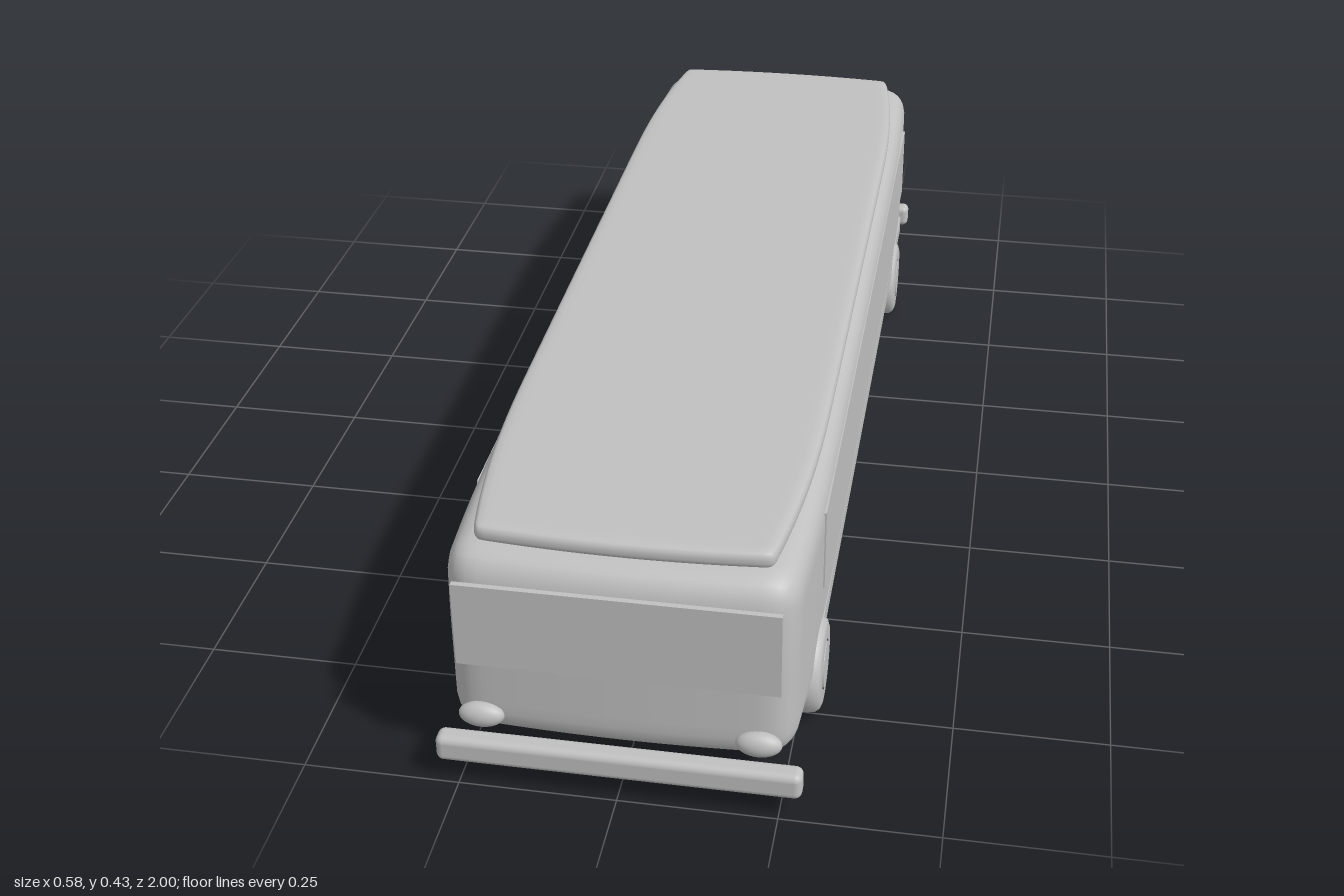
import * as THREE from 'three';
import { mergeVertices } from 'three/addons/utils/BufferGeometryUtils.js';
import { RoundedBoxGeometry } from 'three/addons/geometries/RoundedBoxGeometry.js';

const paint = new THREE.MeshStandardMaterial({ color: 0xc0c0c0 });
paint.name = 'lightGrey';

function add(group, name, geometry, x = 0, y = 0, z = 0) {
  const mesh = new THREE.Mesh(geometry, paint);
  mesh.name = name;
  mesh.position.set(x, y, z);
  group.add(mesh);
  return mesh;
}

// Smooth rounded block whose ends narrow by `taper` and bow outwards by `bow`
function softBlock(w, h, d, r, { taper, start, bow, lean = 0 }) {
  const half = new THREE.Vector3(w / 2, h / 2, d / 2);
  const inner = half.clone().subScalar(r);
  let g = new THREE.BoxGeometry(2, 2, 2, 24, 20, 48);
  g.deleteAttribute('uv');
  g.deleteAttribute('normal');
  g = mergeVertices(g);
  const pos = g.attributes.position;
  const p = new THREE.Vector3(), core = new THREE.Vector3();
  const crowd = (t) => Math.sin(t * Math.PI / 2); // more vertices near the edges
  for (let i = 0; i < pos.count; i++) {
    p.fromBufferAttribute(pos, i);
    p.set(crowd(p.x), crowd(p.y), crowd(p.z)).multiply(half);
    core.copy(p).clamp(inner.clone().negate(), inner);
    p.sub(core).setLength(r).add(core);
    const end = Math.max(0, (Math.abs(p.z) - start) / (d / 2 - start));
    const side = p.x / half.x, up = p.y / half.y;
    p.x *= 1 - taper * end ** 2.5;
    p.z *= 1 - bow * side * side - lean * Math.max(0, up) ** 2;
    pos.setXYZ(i, p.x, p.y, p.z);
  }
  g.computeVertexNormals();
  return g;
}

// Tyre and hub profile turned around the axle
function wheelGeometry() {
  const profile = [
    [0, -0.034], [0.06, -0.034], [0.072, -0.031], [0.078, -0.024], [0.08, -0.012],
    [0.08, 0.014], [0.078, 0.026], [0.072, 0.033], [0.064, 0.036], [0.041, 0.036],
  ].map(([r, y]) => new THREE.Vector2(r, y));
  return new THREE.LatheGeometry(profile, 40).rotateZ(-Math.PI / 2);
}

export function createModel() {
  const bus = new THREE.Group();
  bus.name = 'bus';

  // Shell and raised roof
  add(bus, 'body', softBlock(0.56, 0.332, 1.94, 0.05, { taper: 0.05, start: 0.5, bow: 0.012, lean: 0.012 }), 0, 0.235, 0);
  add(bus, 'roof', softBlock(0.52, 0.032, 1.84, 0.0145, { taper: 0.13, start: 0.45, bow: 0.012 }), 0, 0.41, 0);

  // Flush glazing and side trim
  add(bus, 'windscreen', new THREE.BoxGeometry(0.496, 0.147, 0.009), 0, 0.2865, 0.9665);
  for (const s of [1, -1]) {
    add(bus, 'sideWindow', new THREE.BoxGeometry(0.008, 0.145, 1.48), s * 0.2765, 0.288, -0.04);
    add(bus, 'sideTrim', new THREE.BoxGeometry(0.008, 0.035, 1.48), s * 0.2765, 0.135, -0.04);
  }

  // Bumpers and lamps at both ends
  const bumper = new RoundedBoxGeometry(0.57, 0.046, 0.036, 5, 0.012);
  const lamp = new THREE.SphereGeometry(1, 28, 18).scale(0.036, 0.021, 0.018);
  for (const end of [1, -1]) {
    add(bus, end > 0 ? 'frontBumper' : 'rearBumper', bumper, 0, 0.061, end * 0.982);
    for (const s of [1, -1]) {
      add(bus, end > 0 ? 'headlamp' : 'tailLamp', lamp, s * 0.215, 0.116, end * 0.968);
    }
  }

  // Wheels with hub caps
  const wheel = wheelGeometry();
  const hub = new THREE.CylinderGeometry(0.038, 0.041, 0.06, 32).rotateZ(-Math.PI / 2);
  for (const z of [0.72, -0.625]) {
    for (const s of [1, -1]) {
      const axle = new THREE.Group();
      axle.name = z > 0 ? 'frontWheel' : 'rearWheel';
      axle.position.set(s * 0.252, 0.08, z);
      if (s < 0) axle.rotation.y = Math.PI;
      add(axle, 'tyre', wheel);
      add(axle, 'hubCap', hub, 0.007);
      bus.add(axle);
    }
  }
  return bus;
}
